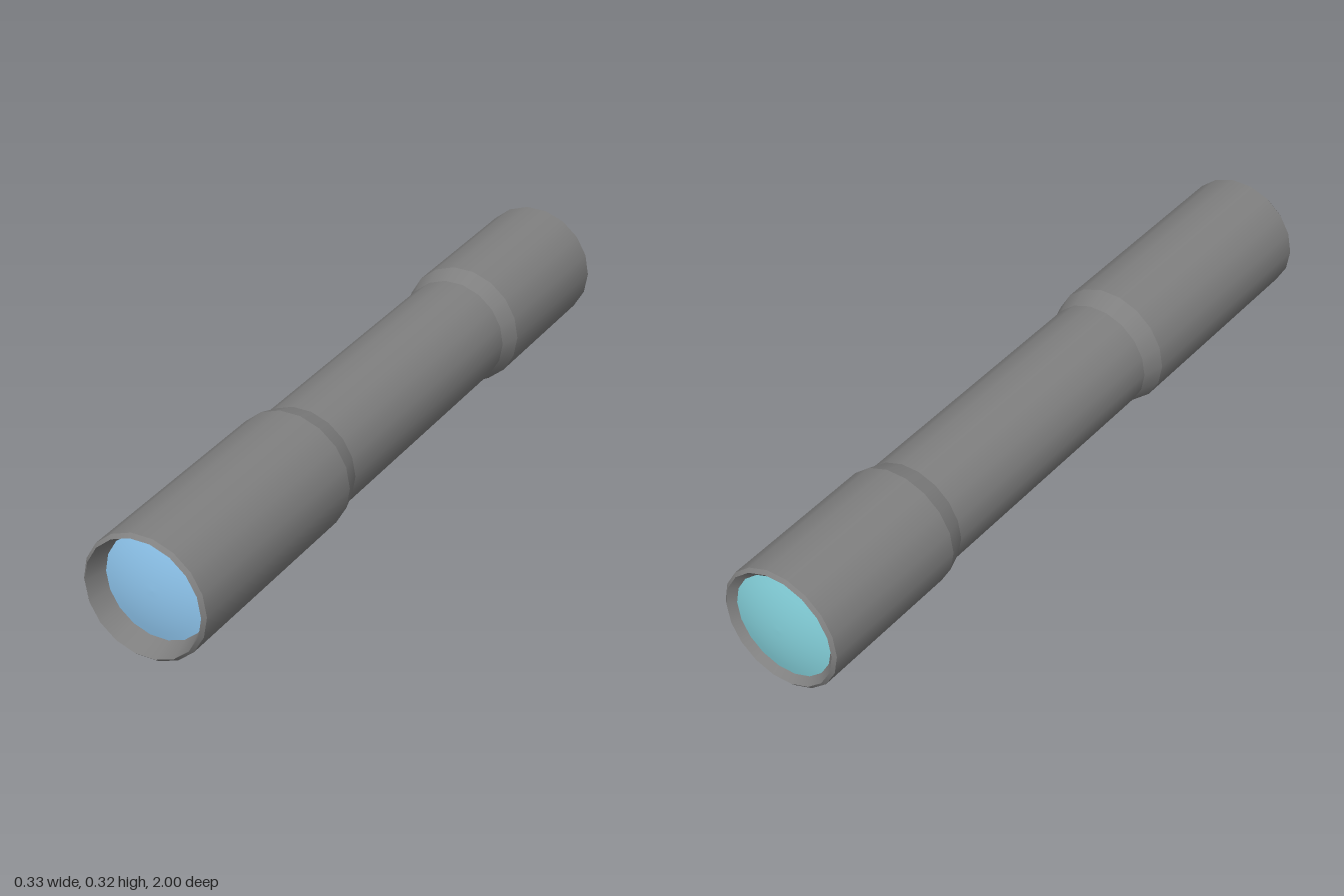
import * as THREE from 'three';
import { mergeGeometries } from 'three/addons/utils/BufferGeometryUtils.js';

const SIDES = 18;
const CENTRE_Y = 0.165;

// Lathe of [radius, z] points about the z axis, with a vertex at +x and -x
function turned(points) {
  const profile = points.map(([r, z]) => new THREE.Vector2(r, z));
  return new THREE.LatheGeometry(profile, SIDES, Math.PI / 2).rotateX(Math.PI / 2);
}

// Each band is turned separately so the edges between bands stay sharp
function bands(points) {
  return mergeGeometries(points.slice(1).map((p, i) => turned([points[i], p])));
}

// Shallow dome, bulging toward +z from its edge
function dome(radius, bulge) {
  const points = [];
  for (let i = 0; i <= 6; i++) {
    const t = 1 - i / 6;
    points.push([radius * t, bulge * (1 - t * t)]);
  }
  return turned(points);
}

export function createModel() {
  const group = new THREE.Group();
  const add = (name, geometry, color) => {
    const mesh = new THREE.Mesh(geometry, new THREE.MeshStandardMaterial({ color }));
    mesh.name = name;
    mesh.position.y = CENTRE_Y;
    group.add(mesh);
    return mesh;
  };

  // Tube: rear rim, eyepiece, slim waist, objective housing, recessed front rim
  add('tubeBody', bands([
    [0.139, -0.98], [0.156, -0.998], [0.165, -0.99],
    [0.165, -0.55], [0.148, -0.497],
    [0.148, 0.293], [0.165, 0.35],
    [0.165, 0.99], [0.156, 1], [0.139, 0.94],
  ]), 0x808080);

  // Lenses
  add('frontLens', dome(0.139, 0.02), 0x8fc6ee).position.z = 0.94;
  const rearLens = add('rearLens', dome(0.139, 0.02), 0x84d0da);
  rearLens.position.z = -0.98;
  rearLens.rotation.y = Math.PI;

  return group;
}
